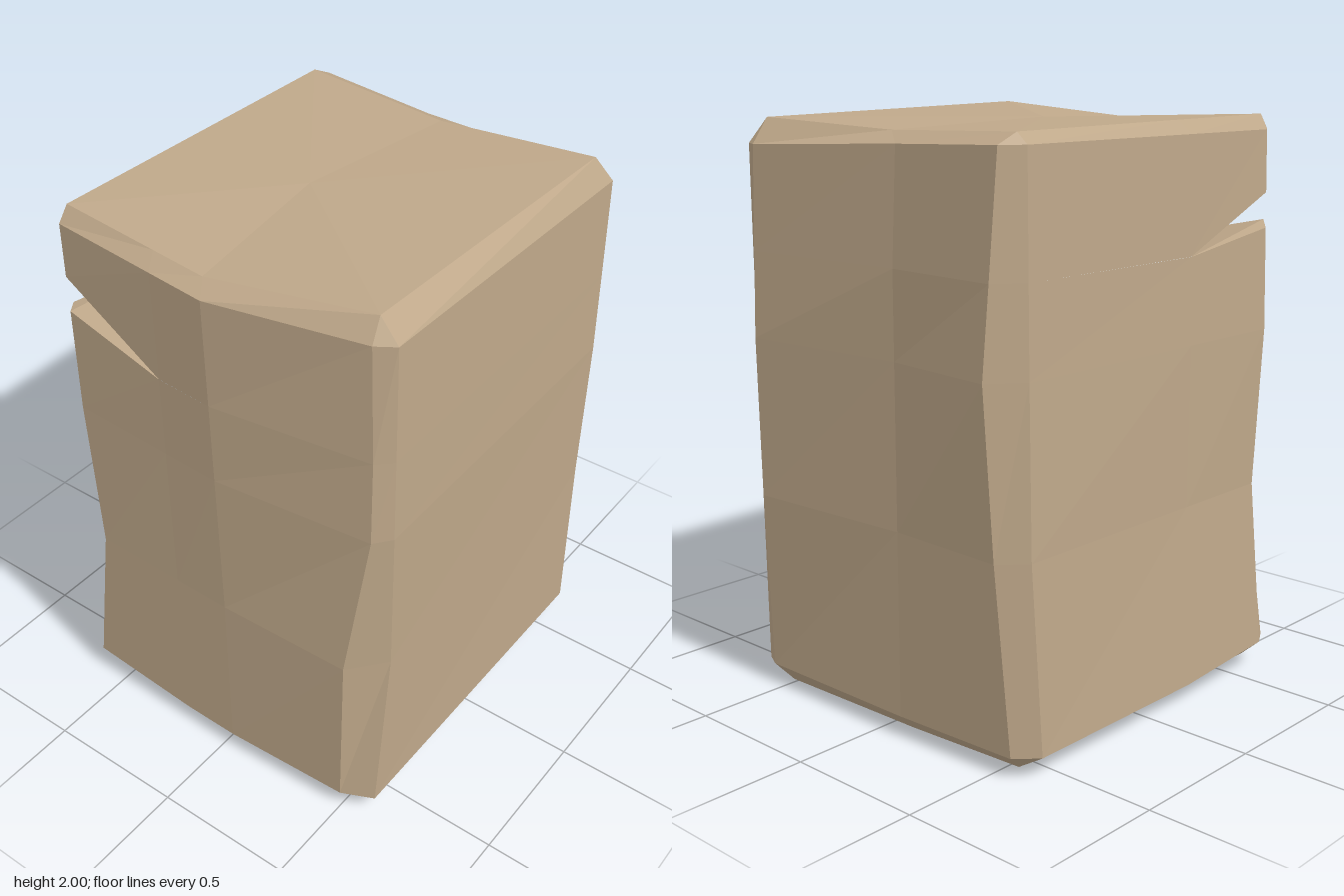
import * as THREE from 'three';

// Worn vertical edges: rows of [y, x1, z1, x2, z2], the two sides of each chamfer,
// listed in counter-clockwise order as seen from above.
const edges = {
  frontRight: [[0.06, 0.5, 0.67, 0.61, 0.62], [0.7, 0.52, 0.68, 0.62, 0.56], [1.3, 0.6, 0.64, 0.64, 0.59], [1.92, 0.57, 0.62, 0.63, 0.58]],
  backRight: [[0.06, 0.61, -0.63, 0.55, -0.66], [0.7, 0.61, -0.63, 0.54, -0.69], [1.2, 0.62, -0.63, 0.54, -0.7], [1.89, 0.61, -0.64, 0.55, -0.67]],
  backLeft: [[0.08, -0.57, -0.64, -0.64, -0.57], [0.7, -0.54, -0.68, -0.62, -0.6], [1.2, -0.52, -0.71, -0.61, -0.6], [1.92, -0.55, -0.67, -0.6, -0.6]],
  frontLeft: [[0.1, -0.64, 0.61, -0.6, 0.68], [0.7, -0.61, 0.57, -0.51, 0.68], [1.2, -0.62, 0.6, -0.55, 0.67], [1.93, -0.6, 0.6, -0.56, 0.66]],
};

// Point on one side (0 or 1) of a worn edge at height y
function edgePoint(rows, side, y) {
  let i = 0;
  while (i < rows.length - 2 && y > rows[i + 1][0]) i++;
  const a = rows[i], b = rows[i + 1];
  const t = THREE.MathUtils.clamp((y - a[0]) / (b[0] - a[0]), 0, 1);
  const k = 1 + side * 2;
  const mix = THREE.MathUtils.lerp;
  return new THREE.Vector3(mix(a[k], b[k], t), y, mix(a[k + 1], b[k + 1], t));
}

// One loop of 12 points round the block; heights may differ per corner
function ring(y, { fl = [y, y], right = y, midDrop = 0 } = {}) {
  const frontF = edgePoint(edges.frontLeft, 1, fl[0]);
  const sideF = edgePoint(edges.frontLeft, 0, fl[1]);
  const frontMid = new THREE.Vector3(0.04, y - midDrop, 0.69 + 0.02 * Math.max(0, (y - 0.7) / 1.2));
  const backMid = new THREE.Vector3(-0.1, y - midDrop, y > 1.8 ? -0.64 : -0.66);
  const backLeftSide = edgePoint(edges.backLeft, 1, y);
  const t = (-0.17 - frontF.x) / (frontMid.x - frontF.x);
  const frontTip = frontF.clone().lerp(frontMid, t).setY(THREE.MathUtils.lerp(y, y - midDrop, t));
  const s = (0.18 - sideF.z) / (backLeftSide.z - sideF.z);
  const sideTip = sideF.clone().lerp(backLeftSide, s).setY(y);
  return [
    frontF, frontTip, frontMid,
    edgePoint(edges.frontRight, 0, y), edgePoint(edges.frontRight, 1, y),
    edgePoint(edges.backRight, 0, right), edgePoint(edges.backRight, 1, right),
    backMid,
    edgePoint(edges.backLeft, 0, y), backLeftSide,
    sideTip, sideF,
  ];
}

// Inner loop of a cap: corner pairs merge to a single point
function capRing(fl, fm, fr, br, bm, bl) {
  const v = (p) => new THREE.Vector3(...p);
  const between = (a, b, t) => v(a).lerp(v(b), t);
  return [v(fl), between(fl, fm, 0.65), v(fm), v(fr), v(fr), v(br), v(br),
    v(bm), v(bl), v(bl), between(fl, bl, 0.38), v(fl)];
}

function buildBlock() {
  const pos = [];
  const tri = (...pts) => pts.forEach((p) => pos.push(p.x, p.y, p.z));
  const quad = (a, b, c, d) => { tri(a, b, c); tri(a, c, d); };
  const stitch = (lo, hi) => lo.forEach((p, i) => {
    const j = (i + 1) % lo.length;
    quad(p, lo[j], hi[j], hi[i]);
  });
  const cap = (loop, up) => {
    const c = loop.reduce((s, p) => s.add(p), new THREE.Vector3()).divideScalar(loop.length);
    loop.forEach((p, i) => {
      const q = loop[(i + 1) % loop.length];
      if (up) tri(c, p, q); else tri(c, q, p);
    });
  };

  const base = capRing([-0.56, 0.03, 0.62], [0.04, 0.035, 0.64], [0.51, 0.025, 0.62],
    [0.52, 0, -0.6], [-0.1, 0.01, -0.6], [-0.55, 0.015, -0.58]);
  const top = capRing([-0.56, 1.98, 0.62], [0, 1.95, 0.65], [0.56, 2, 0.57],
    [0.56, 1.975, -0.6], [0, 1.95, -0.56], [-0.56, 1.965, -0.6]);
  const lowerLip = ring(1.54, { fl: [1.62, 1.6] });
  const upperLip = ring(1.54, { fl: [1.745, 1.72] });

  // Body below and above the crack
  const lower = [base, ring(0.07, { fl: [0.1, 0.1] }), ring(0.7), ring(1.25), lowerLip];
  const upper = [upperLip, ring(1.93, { right: 1.89, midDrop: 0.015 }), top];
  for (const rings of [lower, upper]) {
    for (let i = 0; i < rings.length - 1; i++) stitch(rings[i], rings[i + 1]);
  }
  cap(base, false);
  cap(top, true);

  // Wedge-shaped crack in the front left edge
  quad(lowerLip[10], lowerLip[11], lowerLip[0], lowerLip[1]);
  quad(upperLip[1], upperLip[0], upperLip[11], upperLip[10]);

  const geo = new THREE.BufferGeometry();
  geo.setAttribute('position', new THREE.Float32BufferAttribute(pos, 3));
  geo.computeVertexNormals();
  return geo;
}

export function createModel() {
  const stone = new THREE.MeshStandardMaterial({ color: 0xbfa88a });
  stone.name = 'sandstone';
  stone.flatShading = true;

  const block = new THREE.Mesh(buildBlock(), stone);
  block.name = 'stoneBlock';

  const model = new THREE.Group();
  model.name = 'chippedStone';
  model.add(block);
  return model;
}
